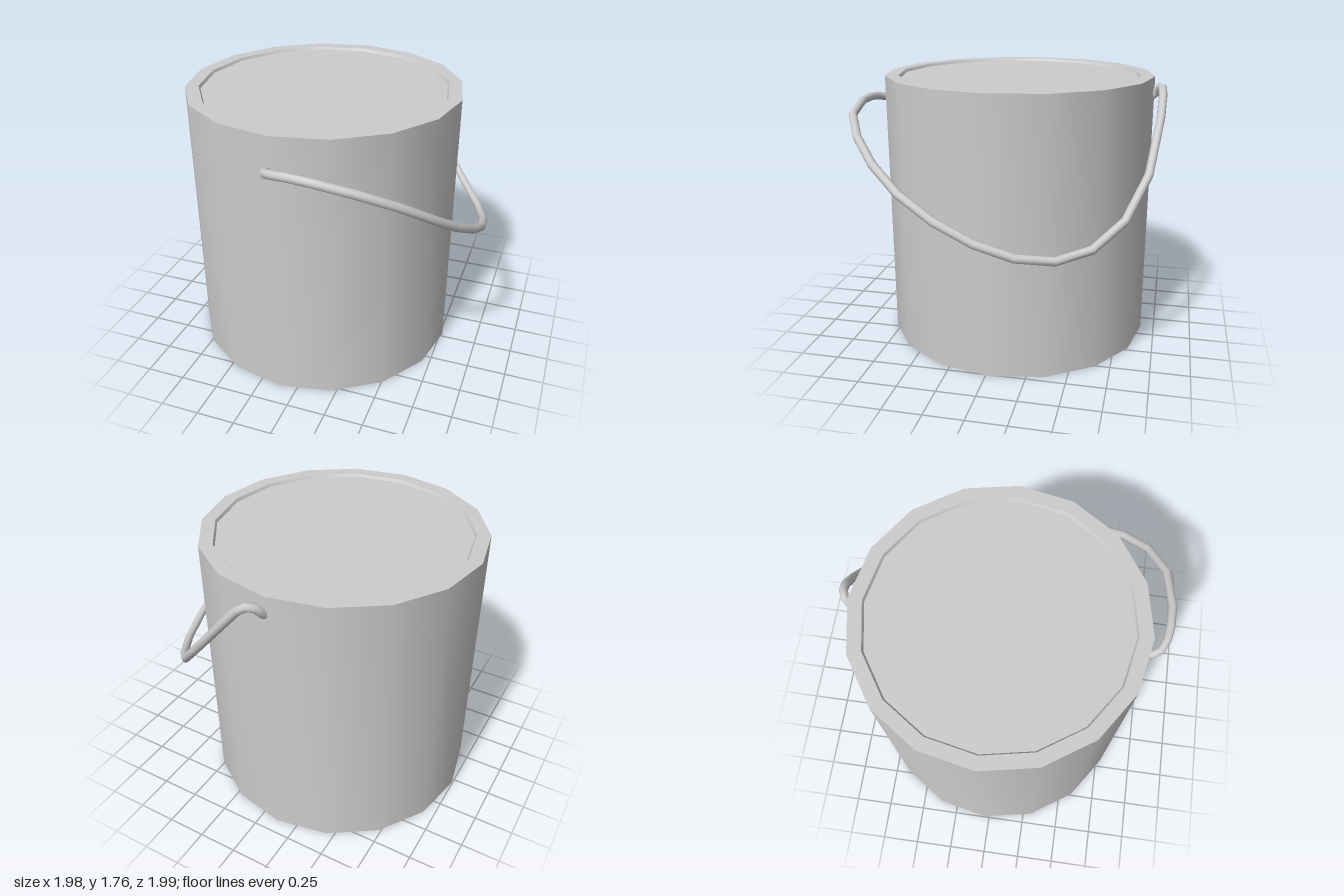
import * as THREE from 'three';
import { toCreasedNormals } from 'three/addons/utils/BufferGeometryUtils.js';

const material = new THREE.MeshStandardMaterial({ color: 0xcccccc });
const RADIUS = 0.88, HEIGHT = 1.765, SIDES = 16;

// Closed sixteen-sided can with a shallow recessed lid and base
function makeCan() {
  const profile = [
    [0, 0.012], [0.825, 0.012], [0.835, 0], [RADIUS, 0],
    [RADIUS, HEIGHT], [0.795, HEIGHT], [0.785, HEIGHT - 0.018], [0, HEIGHT - 0.018],
  ].map(([r, y]) => new THREE.Vector2(r, y));
  const can = new THREE.Mesh(toCreasedNormals(new THREE.LatheGeometry(profile, SIDES), 0.6), material);
  can.name = 'can';
  can.position.set(-0.115, 0, -0.03);
  return can;
}

// Drooping wire handle, hooked into the can at front and back
function makeHandle() {
  const path = new THREE.CatmullRomCurve3([
    [-0.13, 1.555, 0.82], [-0.13, 1.56, 0.875], [-0.105, 1.575, 0.92], [-0.04, 1.59, 0.95],
    [0.04, 1.597, 0.963], [0.17, 1.592, 0.968], [0.42, 1.545, 0.93], [0.62, 1.45, 0.82],
    [0.77, 1.325, 0.67], [0.88, 1.19, 0.48], [0.945, 1.06, 0.25], [0.963, 0.95, 0.01],
    [0.94, 0.875, -0.22], [0.87, 0.848, -0.44], [0.75, 0.888, -0.635], [0.585, 1.02, -0.805],
    [0.38, 1.25, -0.92], [0.12, 1.55, -0.965], [0.02, 1.665, -0.968], [-0.04, 1.705, -0.962],
    [-0.085, 1.702, -0.945], [-0.105, 1.66, -0.915], [-0.11, 1.62, -0.87],
  ].map((p) => new THREE.Vector3(...p)));
  // Place one ring at each control point for straight wire segments
  path.getPointAt = (t, target) => path.getPoint(t, target);
  path.getTangentAt = (t, target) => path.getTangent(t, target);
  const handle = new THREE.Mesh(new THREE.TubeGeometry(path, path.points.length - 1, 0.027, 10), material);
  handle.name = 'handle';
  return handle;
}

export function createModel() {
  const bucket = new THREE.Group();
  bucket.name = 'bucket';
  bucket.add(makeCan(), makeHandle());
  return bucket;
}
